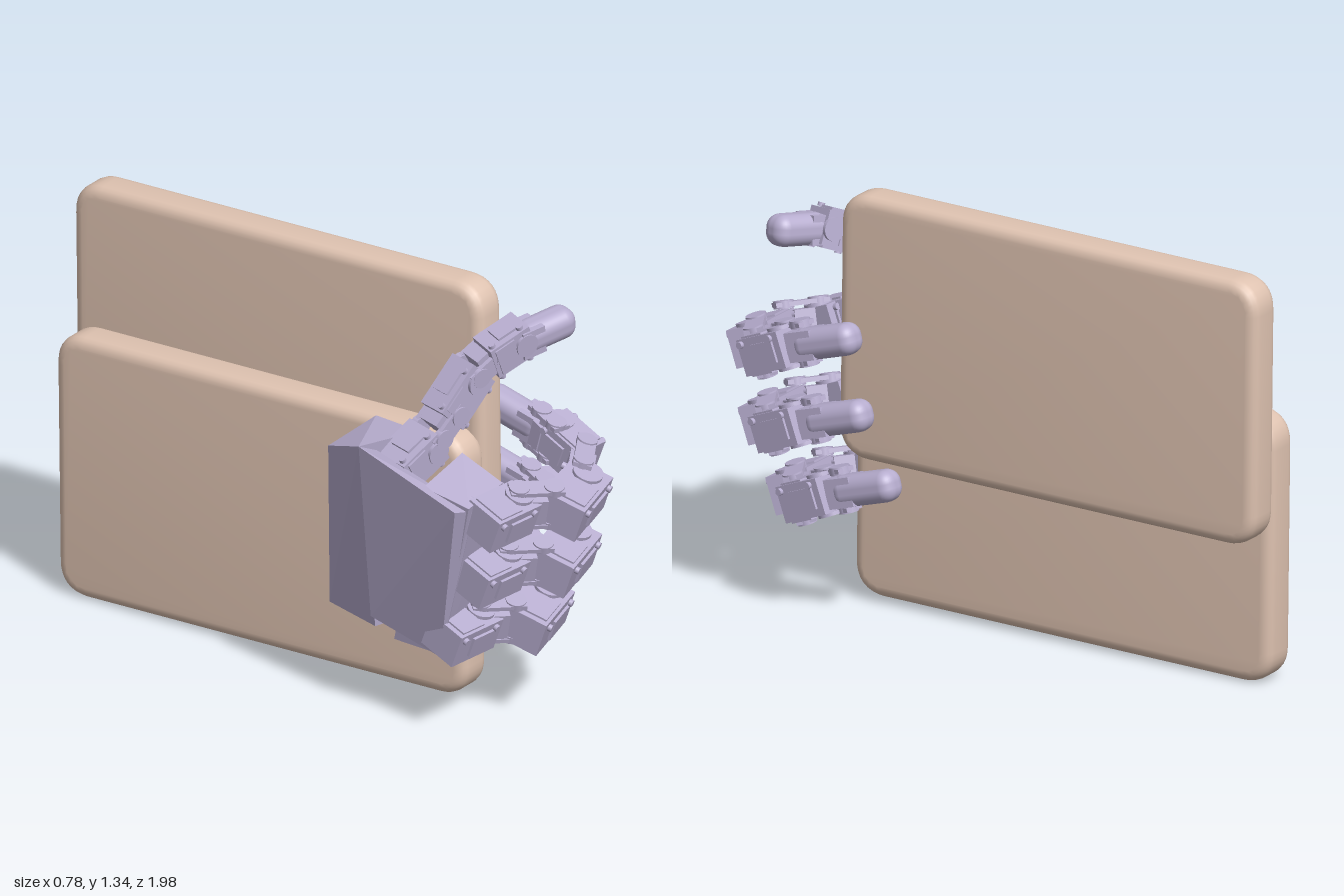
import * as THREE from 'three';
import { toCreasedNormals } from 'three/addons/utils/BufferGeometryUtils.js';
import { RoundedBoxGeometry } from 'three/addons/geometries/RoundedBoxGeometry.js';
import { ConvexGeometry } from 'three/addons/geometries/ConvexGeometry.js';

const metal = new THREE.MeshStandardMaterial({ color: 0xb8aed0 });
const clay = new THREE.MeshStandardMaterial({ color: 0xdfc3b1 });
const V = (x, y, z) => new THREE.Vector3(x, y, z);

function add(parent, name, geometry, x = 0, y = 0, z = 0, material = metal) {
  const mesh = new THREE.Mesh(geometry, material);
  mesh.name = name;
  mesh.position.set(x, y, z);
  parent.add(mesh);
  return mesh;
}
const box = (w, h, d) => new THREE.BoxGeometry(w, h, d);
const disc = (r, h) => new THREE.CylinderGeometry(r, r, h, 20);

// Group running from a to b: local z along the link, local y along the hinge axis
function link(parent, name, a, b, hinge) {
  const g = new THREE.Group();
  g.name = name;
  const z = b.clone().sub(a).normalize();
  const x = hinge.clone().cross(z).normalize();
  g.quaternion.setFromRotationMatrix(new THREE.Matrix4().makeBasis(x, z.clone().cross(x), z));
  g.position.copy(a).add(b).multiplyScalar(0.5);
  parent.add(g);
  return { g, len: a.distanceTo(b) };
}

// Rounded slab with soft edges, thickness from z0 to z1
function slab(parent, name, y0, y1, z0, z1) {
  const bevel = 0.035, r = 0.07, hx = 0.75 - bevel, b = y0 + bevel, t = y1 - bevel;
  const s = new THREE.Shape();
  s.moveTo(-hx + r, b);
  s.lineTo(hx - r, b);
  s.quadraticCurveTo(hx, b, hx, b + r);
  s.lineTo(hx, t - r);
  s.quadraticCurveTo(hx, t, hx - r, t);
  s.lineTo(-hx + r, t);
  s.quadraticCurveTo(-hx, t, -hx, t - r);
  s.lineTo(-hx, b + r);
  s.quadraticCurveTo(-hx, b, -hx + r, b);
  const geo = new THREE.ExtrudeGeometry(s, {
    depth: z1 - z0 - 2 * bevel, bevelEnabled: true, bevelThickness: bevel,
    bevelSize: bevel, bevelSegments: 4, curveSegments: 8,
  });
  add(parent, name, toCreasedNormals(geo, 0.7), 0, 0, z0 + bevel, clay);
}

// Motor housing with a stepped lid, hinge discs and screws
function motor(parent, name, a, b, hinge, w, h) {
  const { g, len } = link(parent, name, a, b, hinge);
  add(g, 'housing', box(w, h, len * 0.92));
  add(g, 'lid', box(w * 0.85, h * 1.1, len * 0.45), 0, 0, -len * 0.15);
  for (const s of [-1, 1]) {
    add(g, 'hingeDisc', disc(w * 0.34, 0.012), 0, s * h * 0.54, len * 0.28);
    add(g, 'sidePlate', box(0.012, h * 0.6, len * 0.5), s * w * 0.52, 0, len * 0.08);
    for (const t of [-0.36, 0.3]) {
      const screw = add(g, 'screw', disc(0.011, 0.012), s * (w / 2 + 0.008), h * 0.36, len * t);
      screw.rotation.z = Math.PI / 2;
    }
  }
}

// Forked bracket joining two motors
function bracket(parent, name, a, b, hinge, h) {
  const { g, len } = link(parent, name, a, b, hinge);
  add(g, 'crossPiece', box(0.08, h * 0.7, len * 0.6));
  for (const s of [-1, 1]) {
    add(g, 'forkArm', box(0.06, 0.014, len + 0.06), 0, s * h * 0.5, 0);
    for (const e of [-1, 1])
      add(g, 'pivot', disc(0.032, 0.024), 0, s * h * 0.5, e * len * 0.5);
  }
}

// Soft rounded fingertip with its mounting block
function tip(parent, a, b, hinge, w, h) {
  const { g, len } = link(parent, 'fingertip', a, b, hinge);
  add(g, 'pad', new RoundedBoxGeometry(w, h, len, 4, 0.042));
  add(g, 'tipMount', box(w * 0.92, h * 0.92, len * 0.4), 0, 0, -len * 0.33);
}

function finger(parent, name, dx, dy, dz) {
  const g = new THREE.Group();
  g.name = name;
  g.position.set(dx, dy, dz);
  parent.add(g);
  const hinge = V(0, 0.92, 0.36);
  motor(g, 'baseMotor', V(-0.26, 0.76, 0.81), V(-0.05, 0.76, 0.80), hinge, 0.13, 0.115);
  bracket(g, 'knuckle', V(-0.08, 0.77, 0.80), V(0.01, 0.765, 0.86), hinge, 0.13);
  motor(g, 'middleMotor', V(-0.005, 0.735, 0.90), V(0.215, 0.765, 0.82), hinge, 0.14, 0.12);
  bracket(g, 'middleJoint', V(0.17, 0.775, 0.81), V(0.27, 0.785, 0.73), hinge, 0.14);
  motor(g, 'outerMotor', V(0.29, 0.775, 0.745), V(0.285, 0.845, 0.575), hinge, 0.12, 0.115);
  bracket(g, 'outerJoint', V(0.25, 0.83, 0.63), V(0.26, 0.85, 0.56), hinge, 0.12);
  tip(g, V(0.275, 0.84, 0.58), V(0.235, 0.905, 0.365), hinge, 0.1, 0.1);
}

function palm(parent) {
  const g = new THREE.Group();
  g.name = 'palm';
  parent.add(g);
  const hull = (name, pts) =>
    add(g, name, new ConvexGeometry(pts.map((p) => V(...p))));
  // Leaning wrist block, outer plate and knuckle rail
  hull('wristBlock', [
    [-0.33, 0.88, 0.25], [-0.10, 0.90, 0.23], [-0.11, 0.91, 0.42], [-0.385, 0.95, 0.43],
    [-0.24, 0.31, 0.17], [-0.12, 0.31, 0.17], [-0.12, 0.29, 0.38], [-0.26, 0.30, 0.38],
  ]);
  hull('outerPlate', [
    [-0.385, 0.95, 0.43], [-0.30, 0.91, 0.42], [-0.25, 0.80, 0.78], [-0.33, 0.82, 0.78],
    [-0.28, 0.34, 0.38], [-0.18, 0.31, 0.38], [-0.19, 0.27, 0.60], [-0.225, 0.26, 0.62],
  ]);
  hull('knuckleRail', [
    [-0.32, 0.86, 0.64], [-0.12, 0.90, 0.61], [-0.10, 0.84, 0.76], [-0.28, 0.82, 0.79],
    [-0.24, 0.27, 0.44], [-0.08, 0.30, 0.44], [-0.07, 0.27, 0.58], [-0.21, 0.26, 0.61],
  ]);
}

function thumb(parent) {
  const g = new THREE.Group();
  g.name = 'thumb';
  parent.add(g);
  const hinge = V(-0.15, -0.1, 1);
  motor(g, 'thumbBase', V(-0.27, 0.84, 0.47), V(-0.13, 0.92, 0.49), hinge, 0.11, 0.13);
  bracket(g, 'thumbKnuckle', V(-0.14, 0.94, 0.50), V(-0.08, 1.0, 0.51), hinge, 0.11);
  motor(g, 'thumbLower', V(-0.11, 0.98, 0.51), V(0.02, 1.12, 0.53), hinge, 0.12, 0.1);
  bracket(g, 'thumbJoint', V(0.0, 1.11, 0.53), V(0.08, 1.16, 0.55), hinge, 0.1);
  motor(g, 'thumbUpper', V(0.04, 1.14, 0.55), V(0.18, 1.20, 0.59), hinge, 0.11, 0.1);
  tip(g, V(0.14, 1.18, 0.59), V(0.335, 1.21, 0.63), hinge, 0.1, 0.1);
}

export function createModel() {
  const model = new THREE.Group();
  model.name = 'handHoldingSteppedBlock';

  // Stepped block: two offset slabs that overlap at mid height
  const block = new THREE.Group();
  block.name = 'steppedBlock';
  block.position.set(-0.03, 0.67, -0.24);
  block.rotation.set(0, -Math.PI / 2 + 0.16, 0.013);
  model.add(block);
  slab(block, 'upperSlab', -0.19, 0.66, -0.115, 0.012);
  slab(block, 'lowerSlab', -0.66, 0.2, -0.015, 0.115);
  add(block, 'core', new RoundedBoxGeometry(1.42, 0.34, 0.12, 3, 0.04), 0, 0, 0, clay);

  // Robotic hand
  const hand = new THREE.Group();
  hand.name = 'hand';
  model.add(hand);
  palm(hand);
  thumb(hand);
  finger(hand, 'upperFinger', 0, 0, 0);
  finger(hand, 'middleFinger', 0.03, -0.22, -0.075);
  finger(hand, 'lowerFinger', 0.005, -0.43, -0.165);
  return model;
}
